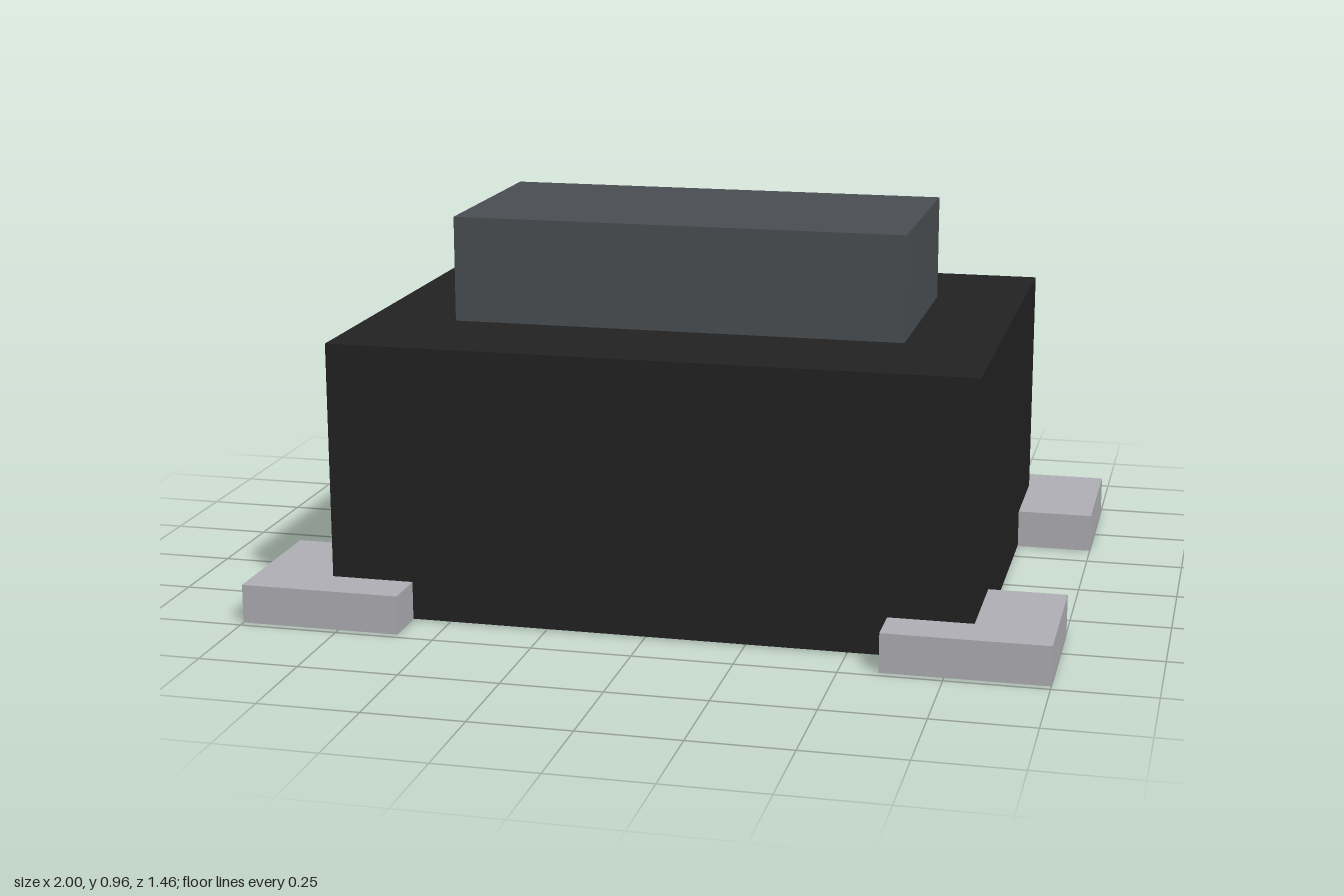
import * as THREE from 'three';

export function createModel() {
  const group = new THREE.Group();
  const mat = (name, color) => {
    const m = new THREE.MeshStandardMaterial({ color });
    m.name = name;
    return m;
  };
  const black = mat('black plastic', 0x222222);
  const grey = mat('dark grey plastic', 0x4a4f53);
  const metal = mat('pale metal', 0xb0b0b6);

  // Box centred on x and z, spanning y0 to y1
  const box = (name, material, w, d, y0, y1, x = 0, z = 0) => {
    const mesh = new THREE.Mesh(new THREE.BoxGeometry(w, y1 - y0, d), material);
    mesh.name = name;
    mesh.position.set(x, (y0 + y1) / 2, z);
    group.add(mesh);
  };

  // Body sits a hair above the pad undersides so the faces do not overlap
  box('body', black, 1.61, 1.226, 0.002, 0.695);
  box('button', grey, 1.154, 0.574, 0.695, 0.963);

  // Four corner solder pads
  for (const [sx, side] of [[1, 'Left'], [-1, 'Right']]) {
    for (const [sz, end] of [[1, 'front'], [-1, 'back']]) {
      box(`${end}${side}Pad`, metal, 0.404, 0.385, 0, 0.098, sx * 0.798, sz * 0.5375);
    }
  }
  return group;
}
